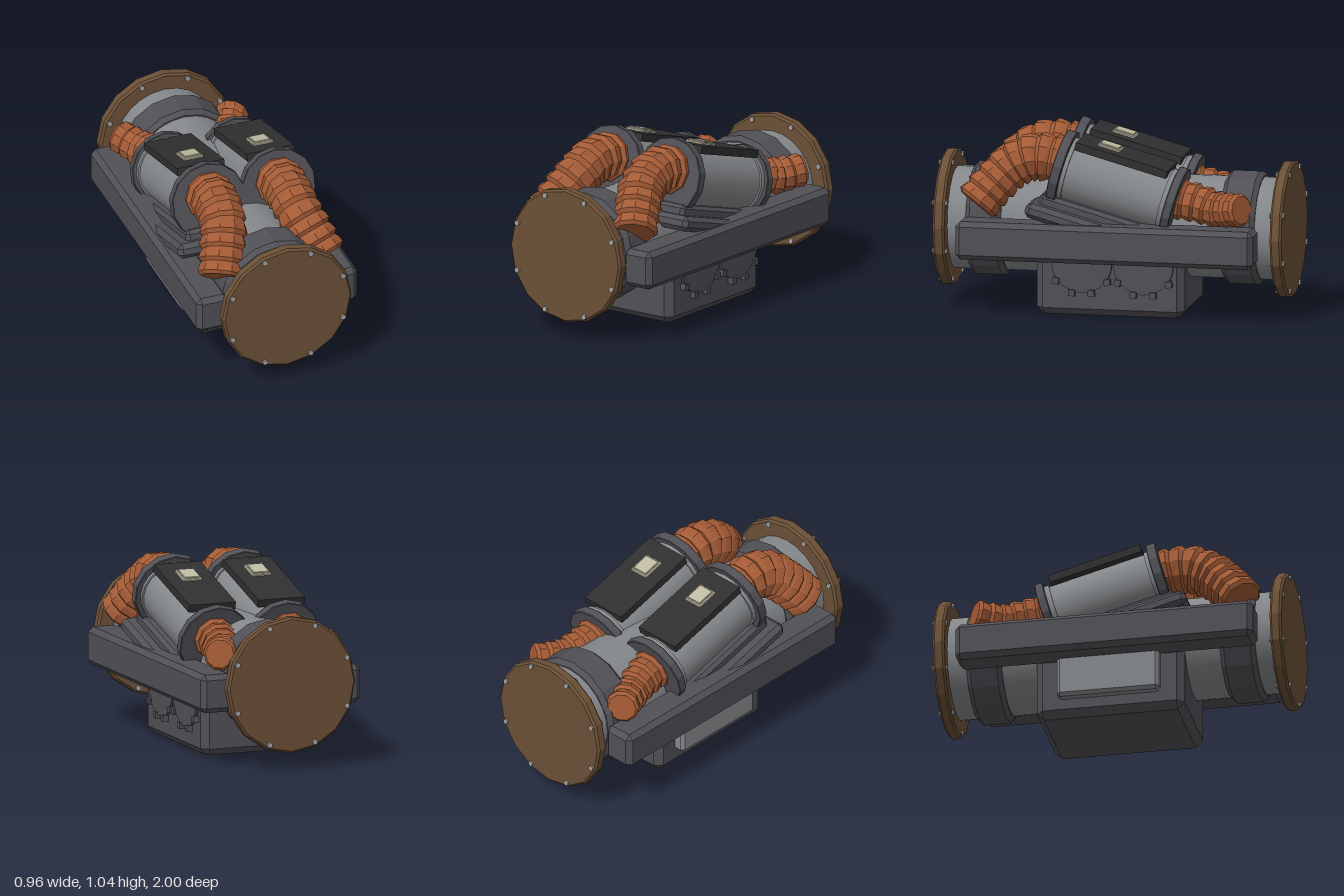
import * as THREE from 'three';
import { ConvexGeometry } from 'three/addons/geometries/ConvexGeometry.js';

const mat = (name, color) => {
  const m = new THREE.MeshStandardMaterial({ color });
  m.name = name;
  return m;
};

export function createModel() {
  const root = new THREE.Group();
  root.name = 'twinPumpUnit';
  const steel = mat('steel grey', 0x85888b);
  const dark = mat('dark grey', 0x505056);
  const brown = mat('flange brown', 0x6b5036);
  const copper = mat('hose copper', 0xa45b36);
  const black = mat('panel black', 0x303030);
  const cream = mat('label cream', 0xbfbba3);
  const silver = mat('bolt silver', 0xa8a8a8);

  const add = (parent, name, geo, material, x = 0, y = 0, z = 0) => {
    const m = new THREE.Mesh(geo, material);
    m.name = name;
    m.position.set(x, y, z);
    parent.add(m);
    return m;
  };
  const flat = (geo) => {
    const g = geo.index ? geo.toNonIndexed() : geo;
    g.computeVertexNormals();
    return g;
  };
  // box with all edges cut at 45 degrees
  const chamferBox = (w, h, d, c) => {
    const pts = [];
    for (const sx of [-1, 1]) for (const sy of [-1, 1]) for (const sz of [-1, 1]) {
      const [x, y, z] = [w / 2, h / 2, d / 2];
      pts.push(new THREE.Vector3(sx * x, sy * (y - c), sz * (z - c)));
      pts.push(new THREE.Vector3(sx * (x - c), sy * y, sz * (z - c)));
      pts.push(new THREE.Vector3(sx * (x - c), sy * (y - c), sz * z));
    }
    return new ConvexGeometry(pts);
  };
  // disc along z with chamfered rims, one corner pointing up
  const disc = (r, depth, c, sides) => {
    const h = depth / 2;
    const profile = [[0, -h], [r - c, -h], [r, -h + c], [r, h - c], [r - c, h], [0, h]];
    const g = new THREE.LatheGeometry(profile.map((p) => new THREE.Vector2(...p)), sides);
    return flat(g.rotateX(Math.PI / 2).rotateZ(Math.PI));
  };
  const cylZ = (r, depth, sides) => new THREE.CylinderGeometry(r, r, depth, sides).rotateX(Math.PI / 2);

  // main pipe, collars and end flanges
  const axisY = 0.48;
  add(root, 'mainPipe', cylZ(0.287, 1.88, 24), steel, 0, axisY);
  for (const s of [-1, 1]) {
    add(root, 'pipeCollar', disc(0.322, 0.2, 0.025, 16), dark, 0, axisY, s * 0.72);
    add(root, 'endFlange', disc(0.385, 0.066, 0.012, 16), brown, 0, axisY, s * 0.957);
    for (let i = 0; i < 8; i++) {
      const a = (i + 0.5) * Math.PI / 4;
      add(root, 'flangeBolt', flat(cylZ(0.016, 0.086, 6)), silver,
        0.356 * Math.sin(a), axisY + 0.356 * Math.cos(a), s * 0.957);
    }
  }

  // base and side rails
  add(root, 'baseBox', chamferBox(0.6, 0.46, 0.84, 0.04), dark, 0, 0.23, 0);
  for (const s of [-1, 1])
    add(root, 'sideRail', chamferBox(0.19, 0.215, 1.69, 0.028), dark, s * 0.385, 0.4325, 0);

  // service panel on the right flank
  add(root, 'servicePanel', chamferBox(0.1, 0.32, 0.58, 0.018), steel, -0.31, 0.26, 0);

  // round bolted covers on the left flank
  for (const z of [0.155, -0.195]) {
    add(root, 'roundCover', flat(new THREE.CylinderGeometry(0.172, 0.172, 0.05, 20).rotateZ(Math.PI / 2)),
      dark, 0.295, 0.305, z);
    for (const k of [-1.5, -0.5, 0.5, 1.5]) {
      const a = k * Math.PI / 5;
      const bolt = add(root, 'coverBolt', new THREE.BoxGeometry(0.05, 0.036, 0.036), dark,
        0.308, 0.305 - 0.18 * Math.cos(a), z + 0.18 * Math.sin(a));
      bolt.rotation.x = -a * 0.2;
    }
  }

  // ribbed hose, tapering from r0 to r1, closed at its far end
  const hose = (points, r0, r1, ribs) => {
    const curve = new THREE.CatmullRomCurve3(points.map((p) => new THREE.Vector3(...p)));
    const n = ribs * 4 + 1, sides = 10;
    const g = new THREE.TubeGeometry(curve, n, 1, sides);
    const pos = g.attributes.position, v = new THREE.Vector3();
    const step = [0.88, 0.96, 1, 1.03];
    for (let i = 0; i <= n; i++) {
      const t = i / n, centre = curve.getPointAt(t);
      const r = i === n ? 0 : (r0 + (r1 - r0) * t) * step[i % 4];
      const target = i === n ? curve.getPointAt((n - 1) / n) : centre;
      for (let j = 0; j <= sides; j++) {
        const k = i * (sides + 1) + j;
        v.fromBufferAttribute(pos, k).sub(centre).multiplyScalar(r).add(target);
        pos.setXYZ(k, v.x, v.y, v.z);
      }
    }
    return flat(g);
  };

  // tilted frame that carries both motors
  const frame = new THREE.Group();
  frame.name = 'tiltedMotors';
  frame.position.set(0, 0.729, -0.032);
  frame.rotation.x = -0.27;
  root.add(frame);
  add(frame, 'saddlePlate', chamferBox(0.88, 0.085, 0.88, 0.025), dark, 0, -0.238, 0);
  add(frame, 'upperSaddle', chamferBox(0.74, 0.08, 0.76, 0.02), dark, 0, -0.18, 0.01);

  for (const s of [-1, 1]) {
    const motor = new THREE.Group();
    motor.name = 'motor';
    motor.position.x = s * 0.208;
    frame.add(motor);
    add(motor, 'motorBody', cylZ(0.178, 0.64, 20), steel);
    add(motor, 'frontRing', disc(0.22, 0.056, 0.004, 14), dark, 0, 0, 0.329);
    add(motor, 'rearRing', disc(0.212, 0.05, 0.004, 14), dark, 0, 0, -0.332);
    for (const e of [-1, 1])
      add(motor, 'bodyLip', cylZ(0.188, 0.03, 20), steel, 0, 0, e * 0.293);
    add(motor, 'topPanel', new THREE.BoxGeometry(0.28, 0.045, 0.54), black, 0, 0.174, 0.005);
    add(motor, 'label', chamferBox(0.118, 0.018, 0.135, 0.005), cream, 0, 0.2, 0.1);
    add(motor, 'labelTop', chamferBox(0.095, 0.012, 0.11, 0.003), cream, 0, 0.21, 0.1);

    const x = (p) => [p[0] * s, p[1], p[2]];
    add(root, 'frontHose', hose([
      [0.21, 0.86, 0.27], [0.21, 0.875, 0.44], [0.22, 0.825, 0.56],
      [0.26, 0.73, 0.66], [0.315, 0.6, 0.765],
    ].map(x), 0.138, 0.128, 8), copper);
    add(root, 'rearHose', hose([
      [0.215, 0.67, -0.35], [0.23, 0.645, -0.5], [0.26, 0.625, -0.61],
      [0.3, 0.632, -0.69], [0.35, 0.645, -0.775],
    ].map(x), 0.122, 0.09, 6), copper);
  }
  return root;
}
